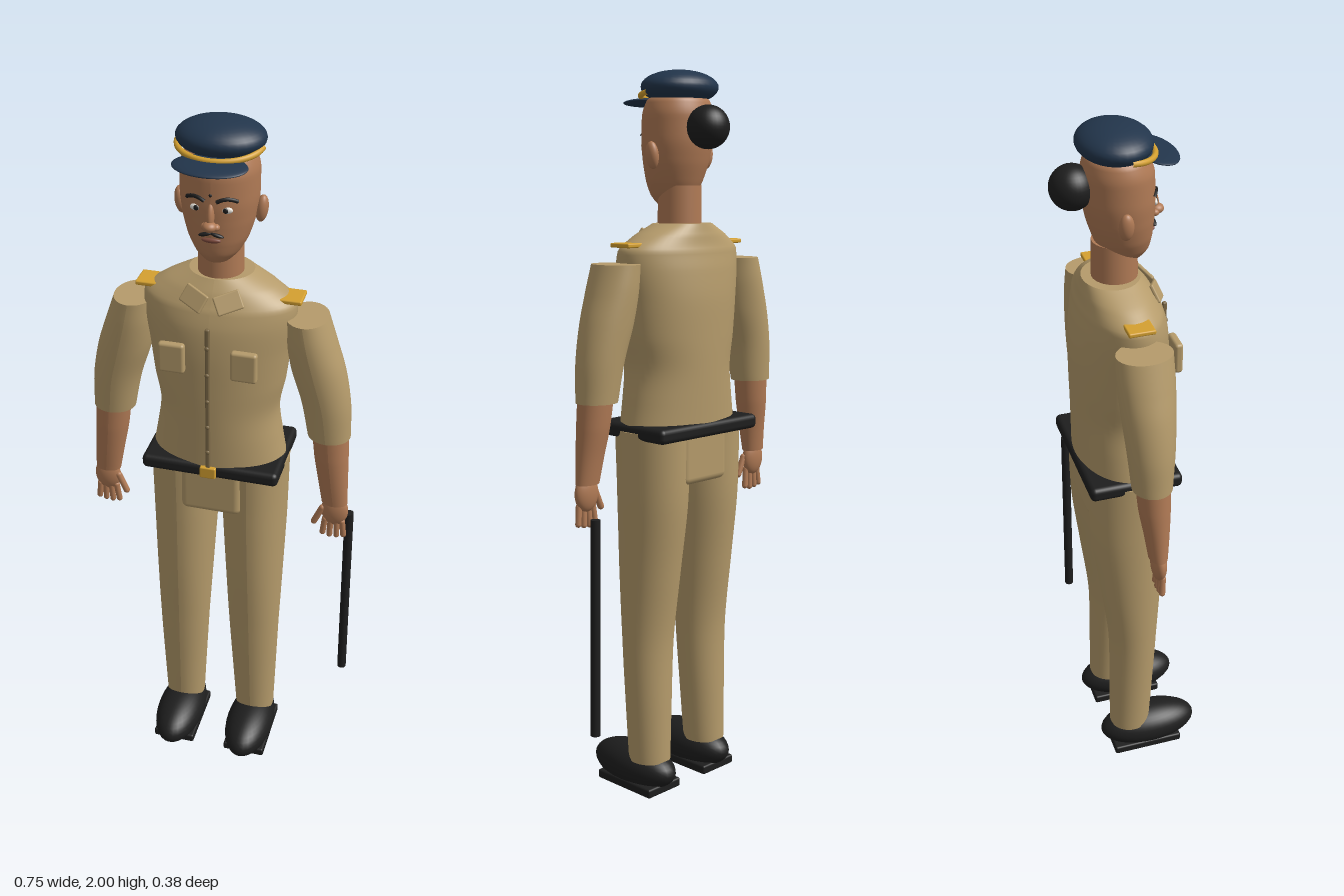
import * as THREE from 'three';
import { RoundedBoxGeometry } from 'three/addons/geometries/RoundedBoxGeometry.js';

const mat = (name, color) => {
  const m = new THREE.MeshStandardMaterial({ color });
  m.name = name;
  return m;
};

// Smooth loft through elliptical sections [y, centreX, centreZ, radiusX, radiusZ], listed from bottom to top
function loft(sections, rows = 32, sides = 40) {
  const axis = new THREE.CatmullRomCurve3(sections.map(s => new THREE.Vector3(s[1], s[0], s[2])));
  const size = new THREE.CatmullRomCurve3(sections.map(s => new THREE.Vector3(s[3], 0, s[4])));
  const pos = [], index = [];
  const ring = (c, r) => {
    for (let j = 0; j <= sides; j++) {
      const a = (j / sides) * Math.PI * 2;
      pos.push(c.x + r.x * Math.sin(a), c.y, c.z + r.z * Math.cos(a));
    }
  };
  for (let i = 0; i <= rows; i++) ring(axis.getPoint(i / rows), size.getPoint(i / rows));
  const w = sides + 1;
  for (let i = 0; i < rows; i++) for (let j = 0; j < sides; j++) {
    const a = i * w + j;
    index.push(a, a + 1, a + w, a + 1, a + w + 1, a + w);
  }
  // End caps with their own rings so the rims stay sharp
  for (const t of [0, 1]) {
    const c = axis.getPoint(t), start = pos.length / 3;
    ring(c, size.getPoint(t));
    pos.push(c.x, c.y, c.z);
    for (let j = 0; j < sides; j++) {
      if (t) index.push(start + j, start + j + 1, start + w);
      else index.push(start + j + 1, start + j, start + w);
    }
  }
  const g = new THREE.BufferGeometry();
  g.setAttribute('position', new THREE.Float32BufferAttribute(pos, 3));
  g.setIndex(index);
  g.computeVertexNormals();
  return g;
}

export function createModel() {
  const khaki = mat('khaki cloth', 0xb59b6b), trim = mat('dark khaki', 0x7d6a48);
  const skin = mat('skin', 0xb07a55), navy = mat('navy', 0x22354b);
  const black = mat('black', 0x1e1e1e), gold = mat('gold', 0xd4a030);
  const white = mat('eye white', 0xe8e4dc), lipColor = mat('lips', 0x7d4a3c);

  const model = new THREE.Group();
  model.name = 'uniformedOfficer';
  const body = new THREE.Group();
  body.name = 'body';
  body.position.x = -0.007;
  model.add(body);

  const add = (name, geo, m, x = 0, y = 0, z = 0, rx = 0, ry = 0, rz = 0) => {
    const mesh = new THREE.Mesh(geo, m);
    mesh.name = name;
    mesh.position.set(x, y, z);
    mesh.rotation.set(rx, ry, rz);
    body.add(mesh);
    return mesh;
  };
  const ball = (name, m, x, y, z, sx, sy, sz, rx = 0, rz = 0) => {
    const mesh = add(name, new THREE.SphereGeometry(1, 32, 20), m, x, y, z, rx, 0, rz);
    mesh.scale.set(sx, sy, sz);
    return mesh;
  };
  const box = (w, h, d, r = 0.004) => new RoundedBoxGeometry(w, h, d, 3, r);

  // Shirt
  add('shirt', loft([
    [1.04, 0, -0.022, 0.19, 0.122], [1.12, 0, -0.022, 0.175, 0.124], [1.21, 0, -0.022, 0.163, 0.126],
    [1.3, 0, -0.022, 0.178, 0.127], [1.4, 0, -0.022, 0.19, 0.126], [1.48, 0, -0.022, 0.202, 0.118],
    [1.53, 0, -0.025, 0.202, 0.106], [1.57, 0, -0.032, 0.15, 0.09], [1.6, 0, -0.04, 0.085, 0.075],
  ], 48, 56), khaki);
  add('placket', box(0.012, 0.43, 0.012), trim, 0, 1.28, 0.105);
  for (let i = 0; i < 5; i++) ball('button', trim, 0, 1.12 + i * 0.08, 0.111, 0.006, 0.006, 0.004);

  // Belt, buckle and hips
  add('belt', box(0.38, 0.04, 0.255, 0.014), black, 0, 1.05, -0.024);
  add('buckle', box(0.044, 0.034, 0.014), gold, 0, 1.053, 0.108);
  add('hips', box(0.172, 0.16, 0.222, 0.02), khaki, 0, 0.98, -0.022);

  for (const s of [-1, 1]) {
    const side = s > 0 ? 'left' : 'right';
    // Shirt details
    add(side + 'Pocket', box(0.07, 0.085, 0.022, 0.008), khaki, s * 0.096, 1.398, 0.104);
    add(side + 'Collar', box(0.07, 0.05, 0.01), khaki, s * 0.045, 1.557, 0.068, -0.5, s * 0.25, s * 0.45);
    add(side + 'Epaulette', box(0.064, 0.012, 0.07), gold, s * 0.188, 1.547, -0.024);

    // Trouser leg and shoe
    add(side + 'Leg', loft([
      [0.1, s * 0.112, -0.022, 0.058, 0.06], [0.25, s * 0.11, -0.017, 0.065, 0.064],
      [0.45, s * 0.107, -0.012, 0.074, 0.07], [0.65, s * 0.104, -0.018, 0.083, 0.088],
      [0.85, s * 0.101, -0.026, 0.091, 0.104], [1.05, s * 0.1, -0.025, 0.095, 0.11],
    ]), khaki);
    ball(side + 'Shoe', black, s * 0.112, 0.067, 0.037, 0.071, 0.062, 0.148);
    add(side + 'Sole', box(0.126, 0.026, 0.21, 0.006), black, s * 0.112, 0.024, 0.022);
    add(side + 'Heel', box(0.06, 0.014, 0.1, 0.004), black, s * 0.112, 0.007, 0.03);

    // Sleeve and forearm
    add(side + 'Sleeve', loft([
      [1.145, s * 0.303, -0.023, 0.058, 0.053], [1.25, s * 0.29, -0.023, 0.066, 0.062],
      [1.35, s * 0.265, -0.023, 0.072, 0.07], [1.43, s * 0.245, -0.023, 0.066, 0.074],
      [1.5, s * 0.231, -0.023, 0.056, 0.073],
    ]), khaki);
    add(side + 'Forearm', loft([
      [0.93, s * 0.33, -0.013, 0.036, 0.025], [1.0, s * 0.322, -0.015, 0.041, 0.033],
      [1.08, s * 0.313, -0.019, 0.047, 0.042], [1.17, s * 0.305, -0.022, 0.05, 0.046],
    ]), skin);

    // Hand with four fingers and a thumb
    ball(side + 'Palm', skin, s * 0.332, 0.905, -0.011, 0.038, 0.05, 0.02);
    for (let i = 0; i < 4; i++) {
      const out = i - 1.5, length = 0.062 - Math.abs(i - 1.3) * 0.009;
      add(side + 'Finger', new THREE.CapsuleGeometry(0.0085, length, 6, 12), skin,
        s * (0.331 + out * 0.018), 0.848, -0.008, 0.06, 0, s * out * 0.07);
    }
    add(side + 'Thumb', new THREE.CapsuleGeometry(0.009, 0.055, 6, 12), skin,
      s * 0.287, 0.885, -0.005, 0, 0, -s * 0.4);

    // Ear, eye and eyebrow
    ball(side + 'Ear', skin, s * 0.104, 1.778, -0.03, 0.016, 0.036, 0.019, 0, -s * 0.12);
    ball(side + 'Eye', white, s * 0.037, 1.805, 0.061, 0.017, 0.009, 0.007);
    ball(side + 'Pupil', black, s * 0.037, 1.805, 0.066, 0.007, 0.007, 0.004);
    const brow = new THREE.QuadraticBezierCurve3(new THREE.Vector3(s * 0.015, 1.826, 0.07),
      new THREE.Vector3(s * 0.04, 1.842, 0.067), new THREE.Vector3(s * 0.064, 1.826, 0.052));
    add(side + 'Eyebrow', new THREE.TubeGeometry(brow, 12, 0.005, 8), black);
  }

  // Neck and head
  add('neck', new THREE.CylinderGeometry(0.058, 0.06, 0.14, 40), skin, 0, 1.63, -0.03);
  add('head', loft([
    [1.637, 0, -0.008, 0.012, 0.015], [1.65, 0, -0.006, 0.036, 0.046], [1.675, 0, -0.006, 0.058, 0.064],
    [1.71, 0, -0.01, 0.077, 0.075], [1.76, 0, -0.016, 0.092, 0.085], [1.82, 0, -0.02, 0.1, 0.091],
    [1.88, 0, -0.022, 0.1, 0.09], [1.92, 0, -0.025, 0.09, 0.078], [1.95, 0, -0.028, 0.05, 0.045],
  ], 48, 48), skin);
  ball('hairBun', black, 0.002, 1.85, -0.135, 0.057, 0.057, 0.057);

  // Nose, moustache, mouth and forehead mark
  ball('noseBridge', skin, 0, 1.79, 0.07, 0.01, 0.034, 0.014, -0.2);
  ball('noseTip', skin, 0, 1.765, 0.08, 0.018, 0.013, 0.018);
  for (const s of [-1, 1]) {
    ball('nostril', skin, s * 0.014, 1.761, 0.071, 0.01, 0.009, 0.011);
    ball('moustache', black, s * 0.015, 1.738, 0.066, 0.018, 0.005, 0.007, 0, -s * 0.25);
  }
  ball('mouth', lipColor, 0, 1.722, 0.064, 0.025, 0.007, 0.008);
  ball('foreheadMark', black, 0, 1.842, 0.07, 0.004, 0.004, 0.003);

  // Peaked cap with gold braid
  ball('capCrown', navy, 0, 1.955, -0.03, 0.113, 0.045, 0.094);
  ball('capVisor', navy, 0, 1.919, 0.075, 0.094, 0.009, 0.054, 0.13);
  const braidPoints = [];
  for (let i = 0; i <= 16; i++) {
    const a = (i / 16 - 0.5) * Math.PI * 0.95;
    braidPoints.push(new THREE.Vector3(0.107 * Math.sin(a), 1.941 - 0.013 * Math.cos(a), -0.025 + 0.093 * Math.cos(a)));
  }
  add('capBraid', new THREE.TubeGeometry(new THREE.CatmullRomCurve3(braidPoints), 48, 0.0075, 10), gold);

  // Baton hanging beside the left hand
  add('baton', new THREE.CylinderGeometry(0.013, 0.013, 0.59, 24), black, 0.367, 0.555, -0.079, 0, 0, 0.014);

  return model;
}
